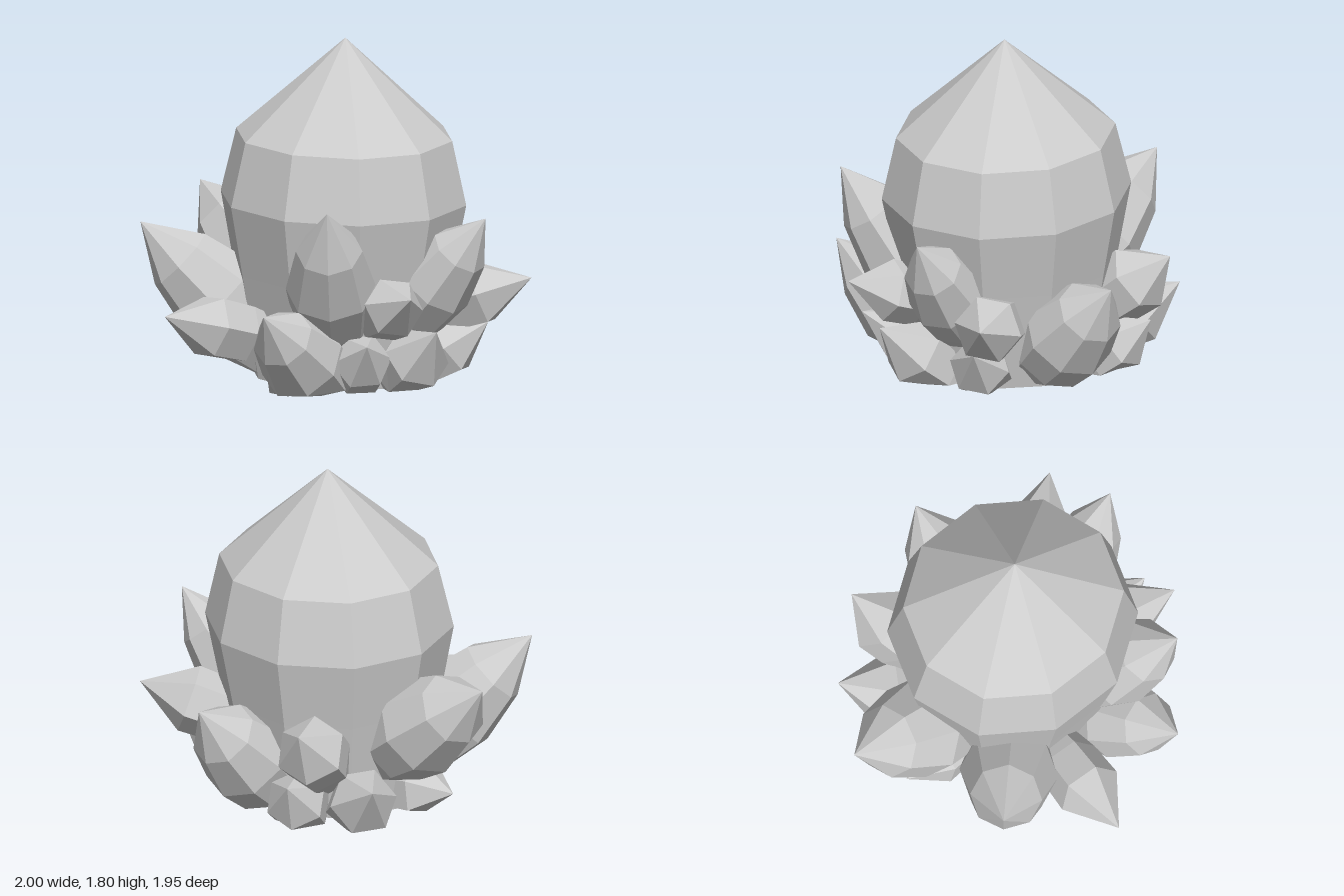
import * as THREE from 'three';

const UP = new THREE.Vector3(0, 1, 0);

// Widths along a crystal: [share of length, share of greatest radius]
const MAIN_PROFILE = [[0, 0], [0, 0.74], [0.31, 0.89], [0.52, 1], [0.71, 0.88], [1, 0]];
const LARGE_PROFILE = [[0, 0], [0, 0.65], [0.22, 0.88], [0.44, 1], [0.72, 0.73], [1, 0]];
const SMALL_PROFILE = [[0, 0], [0, 0.65], [0.35, 0.95], [0.62, 1], [1, 0]];

// Base point, tip point, greatest radius of each outer crystal
const LARGE = [
  [[0.38, 0.02, 0.17], [1.0, 0.67, 0.2], 0.25],
  [[0.07, 0.25, -0.19], [0.08, 0.86, -0.98], 0.27],
  [[0.17, 0.24, 0.42], [0.33, 0.93, 0.97], 0.215],
  [[-0.15, -0.05, 0.3], [-0.81, 0.49, 0.49], 0.23],
  [[-0.15, 0.09, -0.09], [-0.69, 0.81, -0.6], 0.26],
  [[-0.13, 0.2, 0.3], [-0.55, 1.04, 0.7], 0.24],
];
const SMALL = [
  [[0, 0.34, 0.4], [-0.2, 0.57, 0.97], 0.165],
  [[0.31, 0.31, 0.35], [0.73, 0.54, 0.89], 0.18],
  [[0.13, -0.1, 0.4], [0.01, 0.36, 0.94], 0.18],
  [[0.22, -0.05, 0.35], [0.54, 0.31, 0.76], 0.16],
  [[-0.05, 0, 0.35], [-0.32, 0.3, 0.76], 0.16],
  [[-0.25, 0.2, 0.02], [-1.0, 0.43, -0.07], 0.175],
  [[0.25, -0.05, -0.17], [0.59, 0.34, -0.67], 0.18],
  [[0.4, 0.25, -0.18], [0.84, 0.65, -0.37], 0.19],
  [[0.42, -0.05, -0.05], [0.81, 0.31, -0.26], 0.165],
  [[0.03, 0.06, -0.15], [0, 0.15, -0.69], 0.16],
  [[-0.2, 0, 0.25], [-0.66, 0.15, 0.35], 0.13],
];

// Faceted crystal from base to tip, cut flat where it meets the ground
function crystal(name, profile, sides, [base, tip, radius], material, depth = 1) {
  const dir = new THREE.Vector3(...tip).sub(new THREE.Vector3(...base));
  const length = dir.length();
  const points = profile.map(([t, r]) => new THREE.Vector2(r * radius, t * length));
  const geometry = new THREE.LatheGeometry(points, sides);
  geometry.scale(1, 1, depth);
  geometry.applyQuaternion(new THREE.Quaternion().setFromUnitVectors(UP, dir.normalize()));
  geometry.translate(...base);
  const pos = geometry.attributes.position;
  for (let i = 0; i < pos.count; i++) pos.setY(i, Math.max(0, pos.getY(i)));
  geometry.computeVertexNormals();
  const mesh = new THREE.Mesh(geometry, material);
  mesh.name = name;
  return mesh;
}

export function createModel() {
  const model = new THREE.Group();
  model.name = 'crystalCluster';
  const material = new THREE.MeshStandardMaterial({ color: 0xcccccc, flatShading: true });

  // Big central crystal, slightly deeper than wide
  const main = [[0.1, 0, 0.1], [0.1, 1.8, 0.13], 0.64];
  model.add(crystal('mainCrystal', MAIN_PROFILE, 10, main, material, 1.05));

  // Ring of outer crystals leaning outward
  LARGE.forEach((shard, i) => {
    model.add(crystal(`largeShard${i + 1}`, LARGE_PROFILE, 8, shard, material));
  });
  SMALL.forEach((shard, i) => {
    model.add(crystal(`smallShard${i + 1}`, SMALL_PROFILE, 6, shard, material));
  });
  return model;
}
